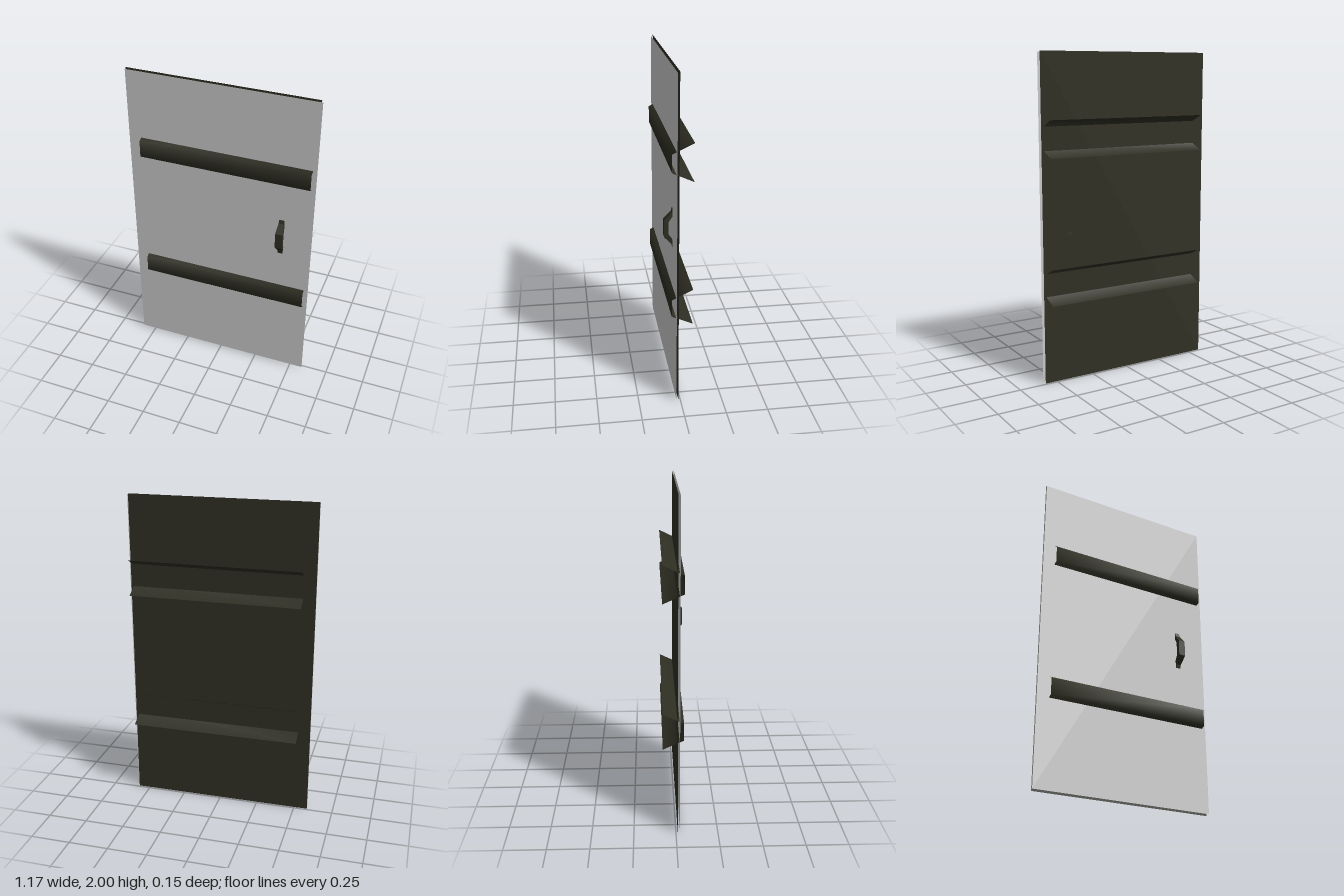
import * as THREE from 'three';

const dark = new THREE.MeshStandardMaterial({ color: 0x2e2e23, side: THREE.DoubleSide });
dark.name = 'dark iron';
const grey = new THREE.MeshStandardMaterial({ color: 0xc8c8c8, side: THREE.DoubleSide });
grey.name = 'light grey';

function addMesh(group, name, geometry, material, x = 0, y = 0, z = 0) {
  const mesh = new THREE.Mesh(geometry, material);
  mesh.name = name;
  mesh.position.set(x, y, z);
  group.add(mesh);
  return mesh;
}

// Folded sheet: flat face in front, flaps flaring towards the back, open ends
function bandGeometry() {
  const profile = [[0.113, -0.075], [0.053, 0.05], [-0.053, 0.05], [-0.109, -0.075]]; // y, z
  const geometry = new THREE.PlaneGeometry(1.07, 1, 1, profile.length - 1);
  const pos = geometry.attributes.position;
  for (let i = 0; i < pos.count; i++) {
    const [y, z] = profile[Math.floor(i / 2)];
    pos.setXYZ(i, pos.getX(i), y, z);
  }
  geometry.computeVertexNormals();
  return geometry;
}

// Bowed grip lofted from rectangular sections, mirrored about its middle
function handleGeometry() {
  // half width, outer y, outer z, inner y, inner z
  const half = [
    [0.014, 0.148, 0.018, 0.146, 0.01],
    [0.017, 0.1, 0.03, 0.092, 0.013],
    [0.0225, 0.05, 0.074, 0.043, 0.048],
  ];
  const lower = half.map(([w, yo, zo, yi, zi]) => [w, -yo, zo, -yi, zi]).reverse();
  const rings = [...half, ...lower].map(([w, yo, zo, yi, zi]) =>
    [[-w, yo, zo], [w, yo, zo], [w, yi, zi], [-w, yi, zi]]);
  const points = [];
  const quad = (a, b, c, d) => points.push(...a, ...b, ...c, ...a, ...c, ...d);
  for (let i = 0; i < rings.length - 1; i++) {
    for (let j = 0; j < 4; j++) {
      const k = (j + 1) % 4;
      quad(rings[i][j], rings[i + 1][j], rings[i + 1][k], rings[i][k]);
    }
  }
  quad(...rings[0]);
  quad(...[...rings[rings.length - 1]].reverse());
  const geometry = new THREE.BufferGeometry();
  geometry.setAttribute('position', new THREE.Float32BufferAttribute(points, 3));
  geometry.computeVertexNormals();
  return geometry;
}

export function createModel() {
  const door = new THREE.Group();
  door.name = 'door';

  // Two thin sheets make the door leaf
  addMesh(door, 'frontPanel', new THREE.PlaneGeometry(1.172, 1.984), grey, 0, 1.002, 0.024);
  addMesh(door, 'backPanel', new THREE.PlaneGeometry(1.162, 2), dark, -0.005, 1, 0.011);

  // Cross bands wrapping through the leaf
  const band = bandGeometry();
  addMesh(door, 'upperBand', band, dark, 0.025, 1.495);
  addMesh(door, 'lowerBand', band, dark, 0.025, 0.615);

  addMesh(door, 'handle', handleGeometry(), dark, 0.393, 1.055);
  return door;
}
